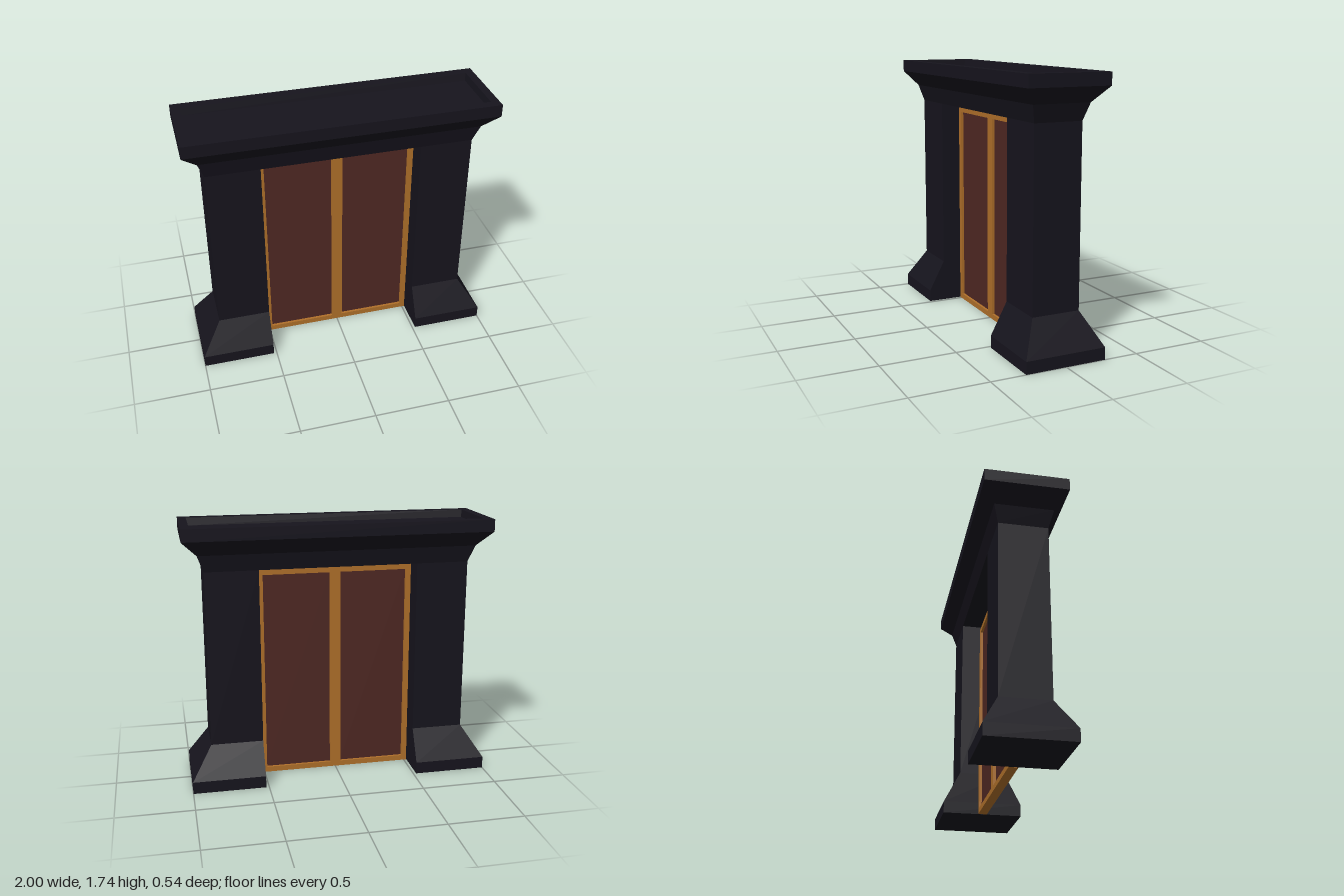
import * as THREE from 'three';

const stone = new THREE.MeshStandardMaterial({ color: 0x16141d, flatShading: true });
const gold = new THREE.MeshStandardMaterial({ color: 0xb0702a, flatShading: true });
const wood = new THREE.MeshStandardMaterial({ color: 0x4f2823, flatShading: true });

// Closed solid through a stack of rectangles, each [y, x0, x1, halfDepth]
function loft(rings) {
  const corners = rings.map(([y, x0, x1, z]) => [[x0, y, z], [x1, y, z], [x1, y, -z], [x0, y, -z]]);
  const pos = [];
  const quad = (a, b, c, d) => pos.push(...a, ...b, ...c, ...a, ...c, ...d);
  for (let i = 0; i < corners.length - 1; i++) {
    for (let j = 0; j < 4; j++) {
      const k = (j + 1) % 4;
      quad(corners[i][j], corners[i][k], corners[i + 1][k], corners[i + 1][j]);
    }
  }
  const [a, b, c, d] = corners[0];
  quad(d, c, b, a);
  quad(...corners[corners.length - 1]);
  const geometry = new THREE.BufferGeometry();
  geometry.setAttribute('position', new THREE.Float32BufferAttribute(pos, 3));
  geometry.computeVertexNormals();
  return geometry;
}

function addMesh(parent, name, geometry, material) {
  const mesh = new THREE.Mesh(geometry, material);
  mesh.name = name;
  parent.add(mesh);
  return mesh;
}

// Pillar with a straight inner face and a flared foot
function makePillar(side) {
  const inner = 0.52;
  const profile = [[0, 1, 0.27], [0.08, 1, 0.27], [0.29, 0.865, 0.16], [1.45, 0.865, 0.16]];
  return loft(profile.map(([y, x, z]) => (side > 0 ? [y, inner, x, z] : [y, -x, -inner, z])));
}

// Door leaf: a rectangular frame around a thin recessed panel
function makeDoor(name, side) {
  const w = 0.517, h = 1.425, border = 0.036, depth = 0.06;
  const door = new THREE.Group();
  door.name = name;
  const rect = (path, x0, y0, x1, y1) =>
    path.moveTo(x0, y0).lineTo(x1, y0).lineTo(x1, y1).lineTo(x0, y1).closePath();
  const outline = rect(new THREE.Shape(), -w / 2, 0, w / 2, h);
  outline.holes.push(rect(new THREE.Path(), -w / 2 + border, border, w / 2 - border, h - border));
  const frame = new THREE.ExtrudeGeometry(outline, { depth, bevelEnabled: false });
  frame.translate(0, 0, -depth / 2);
  addMesh(door, 'doorFrame', frame, gold);
  const panel = new THREE.BoxGeometry(w - 2 * border, h - 2 * border, 0.025);
  addMesh(door, 'doorPanel', panel, wood).position.y = h / 2;
  door.position.x = side * w / 2;
  return door;
}

export function createModel() {
  const model = new THREE.Group();
  model.name = 'gateway';

  for (const [side, label] of [[1, 'left'], [-1, 'right']]) {
    addMesh(model, `${label}Pillar`, makePillar(side), stone);
    model.add(makeDoor(`${label}Door`, side));
  }

  // Lintel flaring out to a cornice, with a shallow recess in its top
  const cornice = [
    [1.45, 0.865, 0.16], [1.56, 0.905, 0.19], [1.66, 1, 0.27], [1.74, 1, 0.27],
    [1.74, 0.945, 0.21], [1.69, 0.94, 0.2],
  ];
  addMesh(model, 'lintel', loft(cornice.map(([y, x, z]) => [y, -x, x, z])), stone);

  return model;
}
